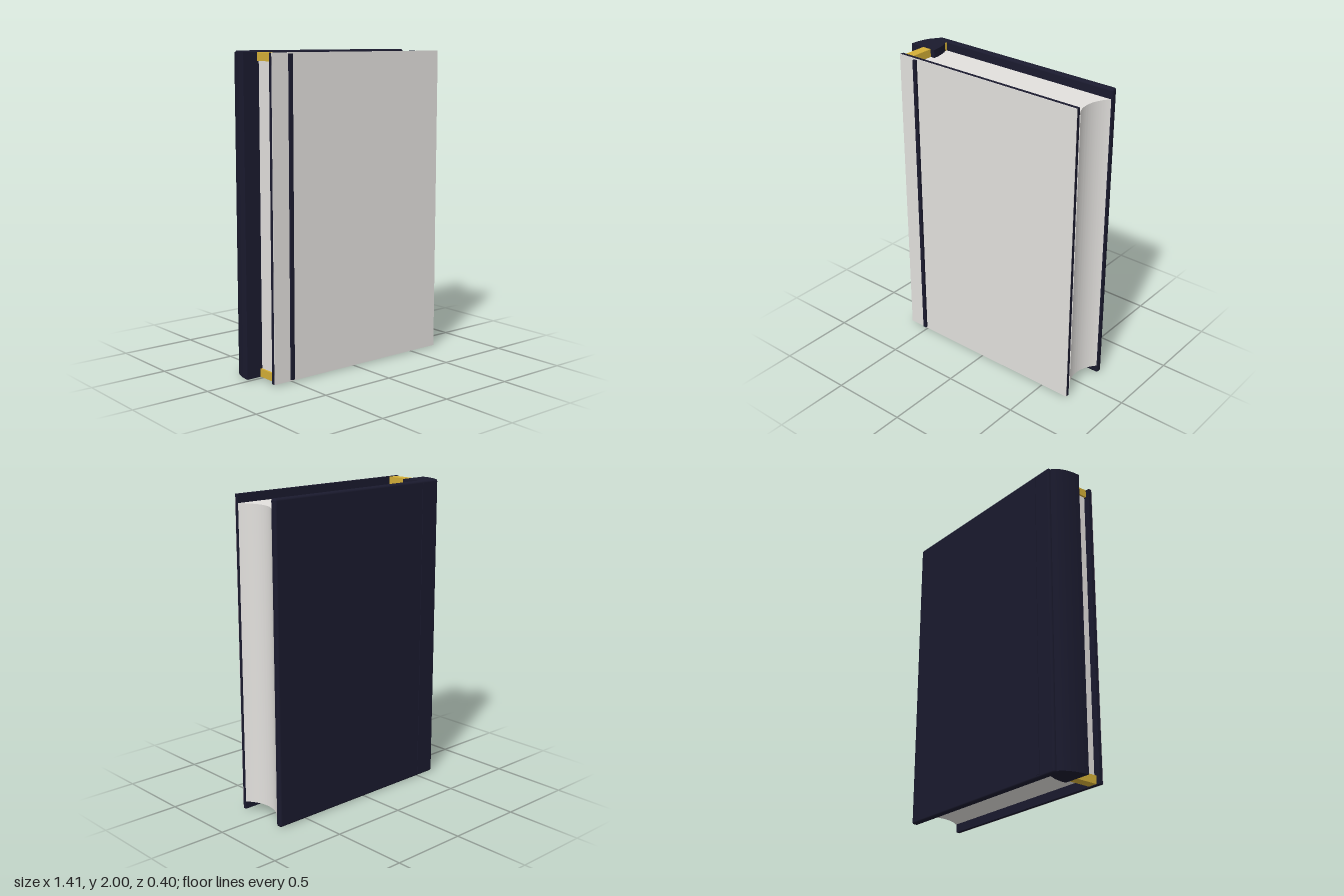
import * as THREE from 'three';
import { RoundedBoxGeometry } from 'three/addons/geometries/RoundedBoxGeometry.js';
import { toCreasedNormals } from 'three/addons/utils/BufferGeometryUtils.js';

export function createModel() {
  const book = new THREE.Group();
  book.name = 'book';

  const material = (name, color) => {
    const m = new THREE.MeshStandardMaterial({ color });
    m.name = name;
    return m;
  };
  const leather = material('dark leather', 0x1a1a2e);
  const paper = material('paper', 0xe2e0dd);
  const gold = material('gold', 0xd4af37);

  const add = (name, geometry, mat) => {
    const mesh = new THREE.Mesh(geometry, mat);
    mesh.name = name;
    book.add(mesh);
    return mesh;
  };
  // Box given by its limits on each axis
  const box = (name, mat, [x0, x1], [y0, y1], [z0, z1]) =>
    add(name, new THREE.BoxGeometry(x1 - x0, y1 - y0, z1 - z0), mat)
      .position.set((x0 + x1) / 2, (y0 + y1) / 2, (z0 + z1) / 2);
  // Upright prism: the shape is drawn in (x, -z) and raised from y0 to y1
  const prism = (name, mat, shape, y0, y1) => {
    const g = new THREE.ExtrudeGeometry(shape, { depth: y1 - y0, bevelEnabled: false, curveSegments: 24 });
    g.rotateX(-Math.PI / 2);
    g.translate(0, y0, 0);
    add(name, toCreasedNormals(g, 0.6), mat);
  };

  // Back cover with softened edges
  add('backCover', new RoundedBoxGeometry(1.345, 2, 0.043, 3, 0.014), leather)
    .position.set(0.0325, 1, -0.175);

  // Thin front cover, faced with a pale sheet
  box('frontCover', leather, [-0.638, 0.698], [0.008, 1.992], [0.155, 0.178]);
  box('frontPanel', paper, [-0.638, 0.698], [0.008, 1.992], [0.178, 0.182]);

  // Hinge ribs on both covers
  box('frontHingeRib', leather, [-0.52, -0.497], [0.018, 1.985], [0.18, 0.197]);
  box('backHingeRib', leather, [-0.52, -0.497], [0.018, 1.985], [-0.2, -0.19]);

  // Page block with a hollow fore edge
  const pages = new THREE.Shape();
  const depth = 0.15, hollow = 0.06;
  const radius = (depth * depth + hollow * hollow) / (2 * hollow);
  const sweep = Math.asin(depth / radius);
  pages.moveTo(-0.6, -depth);
  pages.lineTo(0.7, -depth);
  pages.absarc(0.64 + radius, 0, radius, Math.PI + sweep, Math.PI - sweep, true);
  pages.lineTo(-0.6, depth);
  pages.closePath();
  prism('pageBlock', paper, pages, 0.06, 1.94);

  // Half-oval spine
  const spine = new THREE.Shape();
  spine.moveTo(-0.52, 0);
  spine.absellipse(-0.615, 0, 0.095, 0.185, 0, Math.PI, false, 0);
  spine.closePath();
  prism('spine', leather, spine, 0.01, 1.992);

  // Gold bands at the head and foot of the pages
  for (const [name, y] of [['headBand', 1.94], ['footBand', 0.011]]) {
    box(name, gold, [-0.613, -0.55], [y, y + 0.051], [-0.152, 0.153]);
  }

  return book;
}
